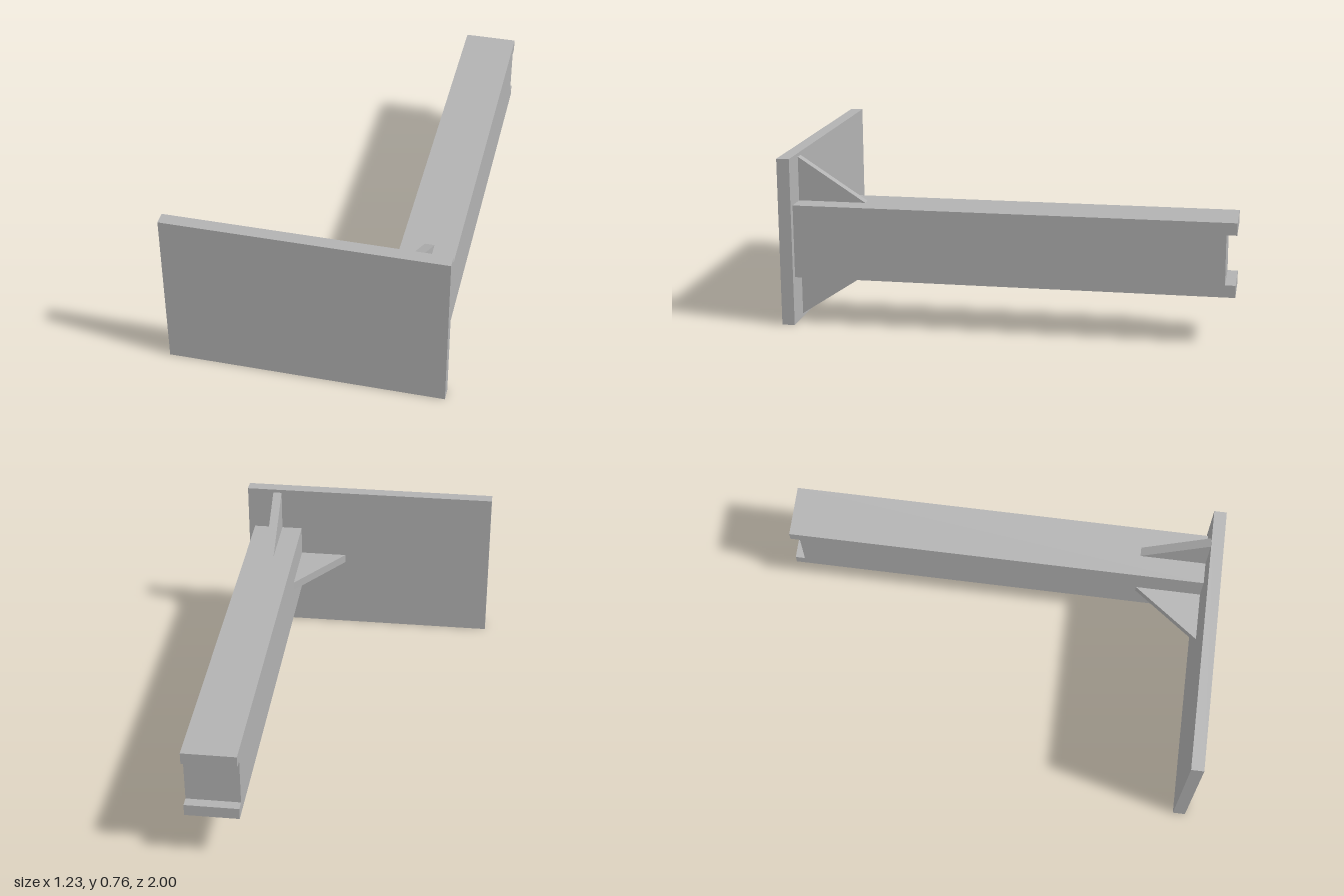
import * as THREE from 'three';

const steel = new THREE.MeshStandardMaterial({ color: 0xb2b2b2 });
steel.name = 'grey steel';

// Extrudes an outline, centred on its thickness
function slab(points, thickness) {
  const shape = new THREE.Shape(points.map(([a, b]) => new THREE.Vector2(a, b)));
  return new THREE.ExtrudeGeometry(shape, { depth: thickness, bevelEnabled: false })
    .translate(0, 0, -thickness / 2);
}

export function createModel() {
  const model = new THREE.Group();
  model.name = 'bracketedBeam';
  const add = (name, geometry, x, y, z) => {
    const mesh = new THREE.Mesh(geometry, steel);
    mesh.name = name;
    mesh.position.set(x, y, z);
    model.add(mesh);
  };

  const beamX = 0.465, beamY = 0.378, halfW = 0.12, halfH = 0.164;
  const plateBack = 0.943, gussetEnd = 0.64, gussetThickness = 0.042;

  // End plate
  add('endPlate', new THREE.BoxGeometry(1.23, 0.756, 1 - plateBack), 0, 0.378, (1 + plateBack) / 2);

  // Beam: side outline (z, y) with a notch in the far end
  const beam = slab([
    [plateBack, -halfH], [plateBack, halfH], [-1, halfH], [-1, 0.11],
    [-0.955, 0.11], [-0.955, -0.11], [-1, -0.11], [-1, -halfH],
  ], halfW * 2).rotateY(-Math.PI / 2);
  add('beam', beam, beamX, beamY, 0);

  // Upper and lower triangular gussets, outline in (z, y)
  for (const [name, s] of [['upperGusset', 1], ['lowerGusset', -1]]) {
    const gusset = slab([
      [gussetEnd, s * halfH], [plateBack, s * halfH], [plateBack, s * 0.362],
    ], gussetThickness).rotateY(-Math.PI / 2);
    add(name, gusset, beamX, beamY, 0);
  }

  // Side gusset towards the wide part of the plate, outline in (x, z)
  const side = slab([
    [-halfW, gussetEnd], [-halfW, plateBack], [-0.345, plateBack],
  ], gussetThickness).rotateX(Math.PI / 2);
  add('sideGusset', side, beamX, beamY, 0);

  return model;
}
